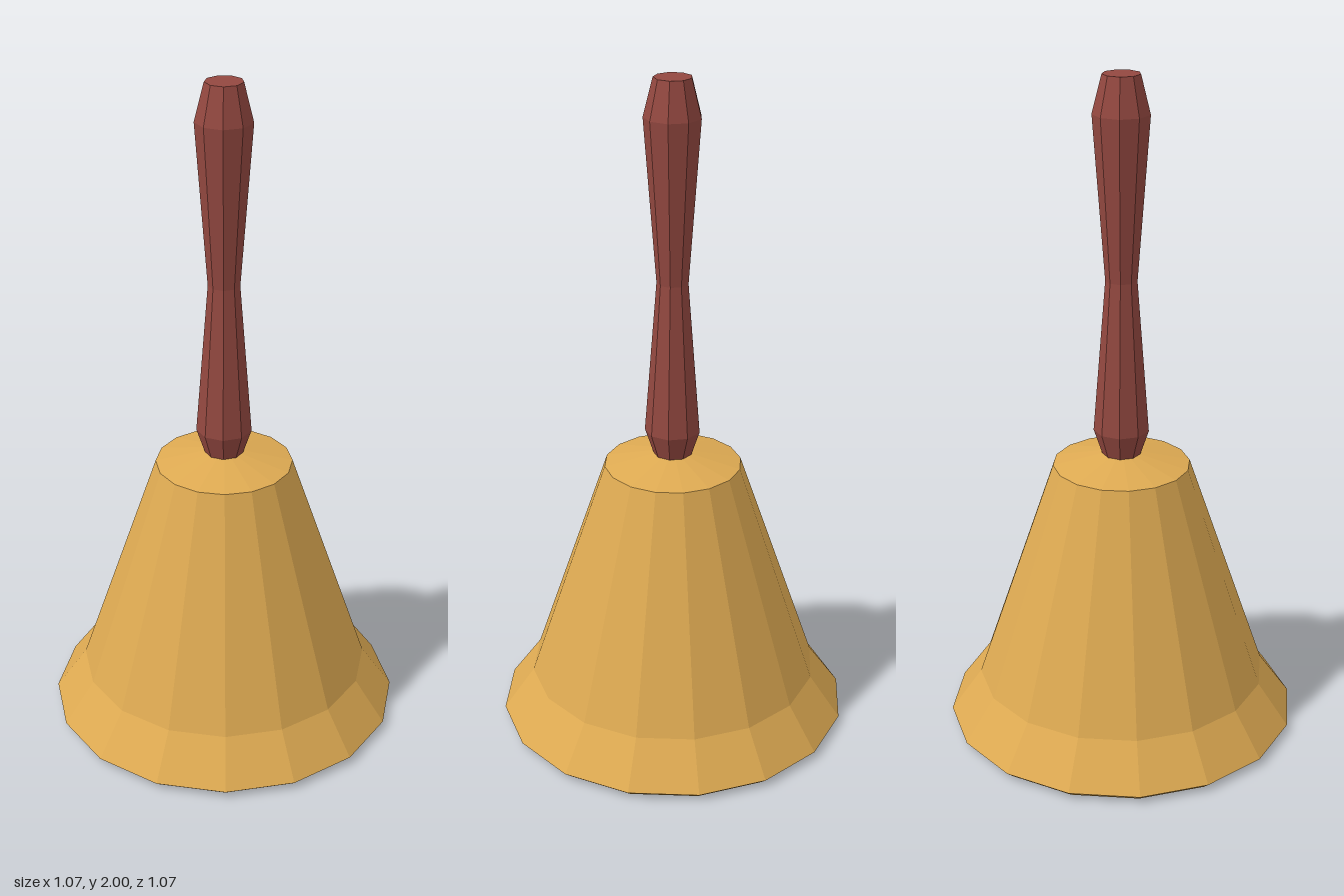
import * as THREE from 'three';

// Faceted solid of revolution; profile points are [radius, height]
function facetedLathe(profile, sides, startAngle) {
  const points = profile.map(([r, y]) => new THREE.Vector2(r, y));
  const geometry = new THREE.LatheGeometry(points, sides, startAngle).toNonIndexed();
  geometry.computeVertexNormals();
  return geometry;
}

export function createModel() {
  const model = new THREE.Group();
  model.name = 'handBell';

  const brass = new THREE.MeshStandardMaterial({ color: 0xdeaa52 });
  brass.name = 'brass';
  const wood = new THREE.MeshStandardMaterial({ color: 0x934840 });
  wood.name = 'redWood';

  // Hollow bell: inner wall from the crown down, round the rim, then up the outside
  const bell = new THREE.Mesh(facetedLathe([
    [0, 0.85], [0.185, 0.82], [0.42, 0.15], [0.51, 0],
    [0.533, 0.02], [0.44, 0.15], [0.205, 0.84], [0.055, 0.874], [0, 0.874],
  ], 16, 0), brass);
  bell.name = 'bell';
  model.add(bell);

  // Nine-sided waisted handle, closed at both ends
  const handle = new THREE.Mesh(facetedLathe([
    [0, 0.865], [0.055, 0.865], [0.083, 0.95], [0.047, 1.41],
    [0.083, 1.89], [0.055, 2], [0, 2],
  ], 9, Math.PI), wood);
  handle.name = 'handle';
  model.add(handle);

  return model;
}
